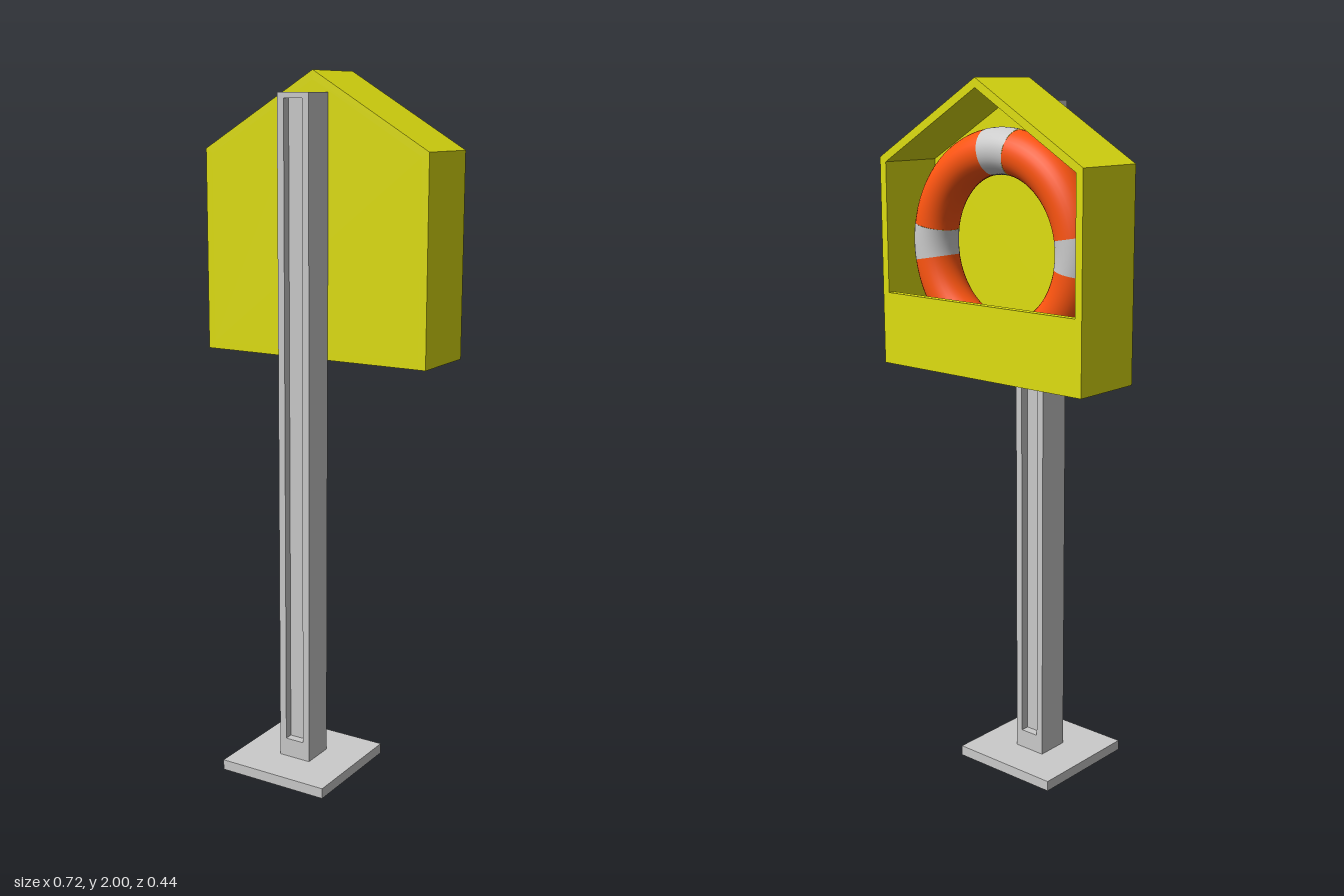
import * as THREE from 'three';

const grey = new THREE.MeshStandardMaterial({ color: 0xcccccc });
const yellow = new THREE.MeshStandardMaterial({ color: 0xe0e010 });
const orange = new THREE.MeshStandardMaterial({ color: 0xff5510 });

const BACK = -0.218, FRONT = -0.003; // housing depth range
const WALL = 0.022;

function add(parent, name, geometry, material, x = 0, y = 0, z = 0) {
  const mesh = new THREE.Mesh(geometry, material);
  mesh.name = name;
  mesh.position.set(x, y, z);
  parent.add(mesh);
  return mesh;
}

const box = (w, h, d) => new THREE.BoxGeometry(w, h, d);
const extrude = (shape, depth) => new THREE.ExtrudeGeometry(shape, { depth, bevelEnabled: false });
const points = (list) => list.map(([x, y]) => new THREE.Vector2(x, y));

// Gabled outline, inset evenly from the outer walls
function gable(inset) {
  const half = 0.358, bottom = 1.21, eave = 1.787, apex = 2;
  const slope = (apex - eave) / half;
  const top = apex - inset * Math.hypot(1, slope);
  const w = half - inset;
  return points([[-w, bottom + inset], [w, bottom + inset], [w, top - w * slope], [0, top], [-w, top - w * slope]]);
}

function createPost() {
  const post = new THREE.Group();
  post.name = 'post';
  // Square post with a long recess in its front and back
  const depth = 0.099, recess = 0.025;
  const frame = new THREE.Shape(points([[-0.05, 0.03], [0.05, 0.03], [0.05, 1.94], [-0.05, 1.94]]));
  frame.holes.push(new THREE.Path(points([[-0.029, 0.085], [-0.029, 1.925], [0.029, 1.925], [0.029, 0.085]])));
  add(post, 'postFrame', extrude(frame, depth), grey, 0, 0, FRONT);
  add(post, 'postWeb', box(0.058, 1.84, depth - 2 * recess), grey, 0, 1.005, FRONT + depth / 2);
  return post;
}

function createHousing() {
  const housing = new THREE.Group();
  housing.name = 'housing';
  // Walls, floor and pitched roof in one shell
  const shell = new THREE.Shape(gable(0));
  shell.holes.push(new THREE.Path(gable(WALL).reverse()));
  add(housing, 'shell', extrude(shell, FRONT - BACK), yellow, 0, 0, BACK);
  // Closed panel against the post
  add(housing, 'panel', extrude(new THREE.Shape(gable(WALL)), WALL), yellow, 0, 0, FRONT - WALL);
  // Low retaining lip across the open side
  const lipTop = 1.413, lipBottom = 1.21 + WALL;
  add(housing, 'lip', box(0.716 - 2 * WALL, lipTop - lipBottom, WALL), yellow,
    0, (lipTop + lipBottom) / 2, BACK + WALL / 2);
  return housing;
}

function createLifeRing() {
  const ring = new THREE.Group();
  ring.name = 'lifeRing';
  const radius = 0.256, tube = 0.062, band = 0.35;
  // Four orange arcs alternating with four pale bands
  for (let i = 0; i < 4; i++) {
    const angle = i * Math.PI / 2;
    const arc = new THREE.TorusGeometry(radius, tube, 32, 24, Math.PI / 2 - band);
    add(ring, 'ringArc', arc, orange).rotation.z = angle + band / 2;
    const strap = new THREE.TorusGeometry(radius, tube + 0.0005, 32, 8, band);
    add(ring, 'ringBand', strap, grey).rotation.z = angle - band / 2;
  }
  ring.position.set(0, 1.555, -0.105);
  return ring;
}

export function createModel() {
  const model = new THREE.Group();
  model.name = 'lifeRingStation';
  add(model, 'basePlate', box(0.34, 0.03, 0.338), grey, 0, 0.015, 0.049);
  model.add(createPost(), createHousing(), createLifeRing());
  return model;
}
